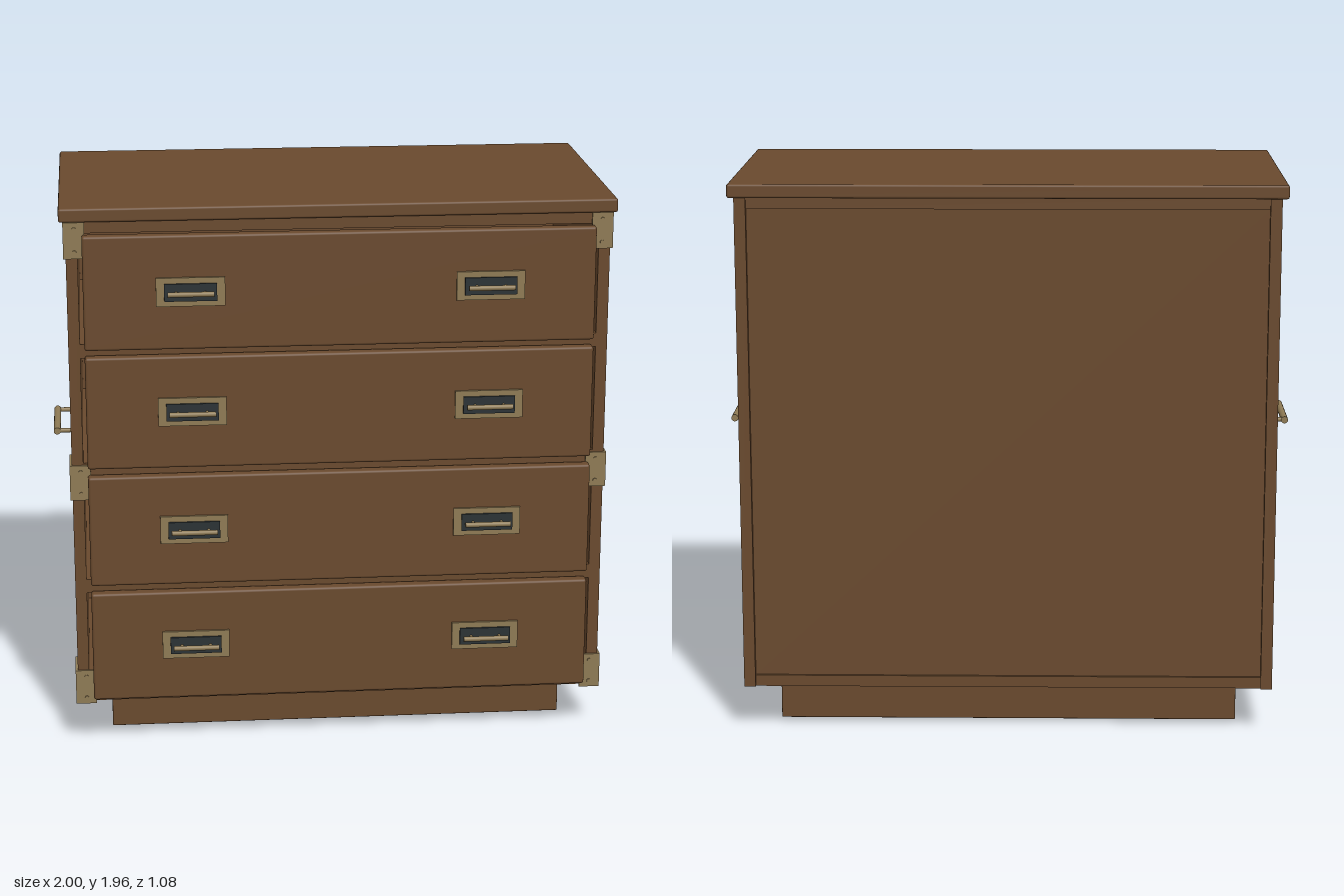
import * as THREE from 'three';
import { RoundedBoxGeometry } from 'three/addons/geometries/RoundedBoxGeometry.js';

export function createModel() {
  const mat = (name, color) => {
    const m = new THREE.MeshStandardMaterial({ color });
    m.name = name;
    return m;
  };
  const wood = mat('walnut wood', 0x6a4a2e);
  const brass = mat('aged brass', 0x8f7b55);
  const dark = mat('dark recess', 0x2b3235);

  const root = new THREE.Group();
  root.name = 'chestOfDrawers';
  const group = (name, parent = root) => {
    const g = new THREE.Group();
    g.name = name;
    parent.add(g);
    return g;
  };
  const add = (parent, name, geometry, material) => {
    const m = new THREE.Mesh(geometry, material);
    m.name = name;
    parent.add(m);
    return m;
  };
  // Box given by its min and max on each axis, with optional rounded edges
  const box = (parent, name, material, [x0, x1], [y0, y1], [z0, z1], r = 0) => {
    const s = [x1 - x0, y1 - y0, z1 - z0];
    const g = r ? new RoundedBoxGeometry(...s, 2, r) : new THREE.BoxGeometry(...s);
    g.translate((x0 + x1) / 2, (y0 + y1) / 2, (z0 + z1) / 2);
    return add(parent, name, g, material);
  };
  // Round rod along one axis
  const rod = (parent, name, material, axis, radius, length, x, y, z) => {
    const g = new THREE.CylinderGeometry(radius, radius, length, 20);
    if (axis === 'x') g.rotateZ(Math.PI / 2);
    if (axis === 'z') g.rotateX(Math.PI / 2);
    g.translate(x, y, z);
    return add(parent, name, g, material);
  };

  // Carcass panels, with the back panel set in between the sides
  const carcass = group('carcass');
  box(carcass, 'topSlab', wood, [-0.957, 0.957], [1.912, 1.96], [-0.54, 0.457], 0.008);
  for (const s of [-1, 1]) {
    box(carcass, 'sidePanel', wood, s < 0 ? [-0.935, -0.895] : [0.895, 0.935], [0.165, 1.912], [-0.52, 0.442]);
  }
  box(carcass, 'upperPanel', wood, [-0.895, 0.895], [1.872, 1.912], [-0.51, 0.442]);
  box(carcass, 'bottomPanel', wood, [-0.895, 0.895], [0.165, 0.205], [-0.51, 0.442]);
  box(carcass, 'backPanel', wood, [-0.895, 0.895], [0.205, 1.872], [-0.5, -0.485]);
  for (const y of [0.6, 1.03, 1.457]) {
    box(carcass, 'drawerRail', wood, [-0.895, 0.895], [y - 0.025, y + 0.025], [-0.485, 0.442]);
  }

  // Drawer fronts with recessed pulls
  [0.385, 0.815, 1.245, 1.67].forEach((y) => {
    const drawer = group('drawer');
    box(drawer, 'drawerFront', wood, [-0.88, 0.88], [y - 0.2, y + 0.2], [0.446, 0.49], 0.009);
    for (const x of [-0.515, 0.515]) {
      const pull = group('drawerPull', drawer);
      box(pull, 'pullPlate', brass, [x - 0.118, x + 0.118], [y - 0.046, y + 0.054], [0.49, 0.499]);
      box(pull, 'pullRecess', dark, [x - 0.09, x + 0.09], [y - 0.027, y + 0.034], [0.499, 0.506]);
      rod(pull, 'pullBar', brass, 'x', 0.009, 0.16, x, y + 0.003, 0.531);
      for (const dx of [-0.05, 0.05]) {
        rod(pull, 'pullPost', brass, 'z', 0.006, 0.027, x + dx, y + 0.003, 0.518);
      }
    }
  });

  // Brass corner brackets, wrapped around the front edges
  for (const s of [-1, 1]) {
    const span = (a, b) => (s > 0 ? [a, b] : [-b, -a]);
    for (const y of [0.22, 0.985, 1.848]) {
      const bracket = group('cornerBracket');
      box(bracket, 'bracketSide', brass, span(0.935, 0.943), [y - 0.063, y + 0.063], [0.315, 0.45]);
      box(bracket, 'bracketFront', brass, span(0.87, 0.935), [y - 0.063, y + 0.063], [0.442, 0.45]);
      for (const dy of [-0.04, 0.04]) {
        rod(bracket, 'screw', brass, 'z', 0.007, 0.006, s * 0.905, y + dy, 0.451);
      }
    }

    // Side carrying handle
    const handle = group('sideHandle');
    rod(handle, 'handleBar', brass, 'z', 0.0125, 0.28, s * 0.9875, 1.067, -0.045);
    for (const z of [-0.175, 0.085]) {
      rod(handle, 'handlePost', brass, 'x', 0.008, 0.052, s * 0.961, 1.067, z);
    }
  }

  // Plinth on low round feet
  const base = group('base');
  box(base, 'plinth', wood, [-0.815, 0.815], [0.012, 0.136], [-0.405, 0.322], 0.005);
  for (const x of [-0.653, 0.653]) {
    for (const z of [-0.275, 0.194]) {
      rod(base, 'foot', dark, 'y', 0.038, 0.014, x, 0.007, z);
    }
  }
  return root;
}
